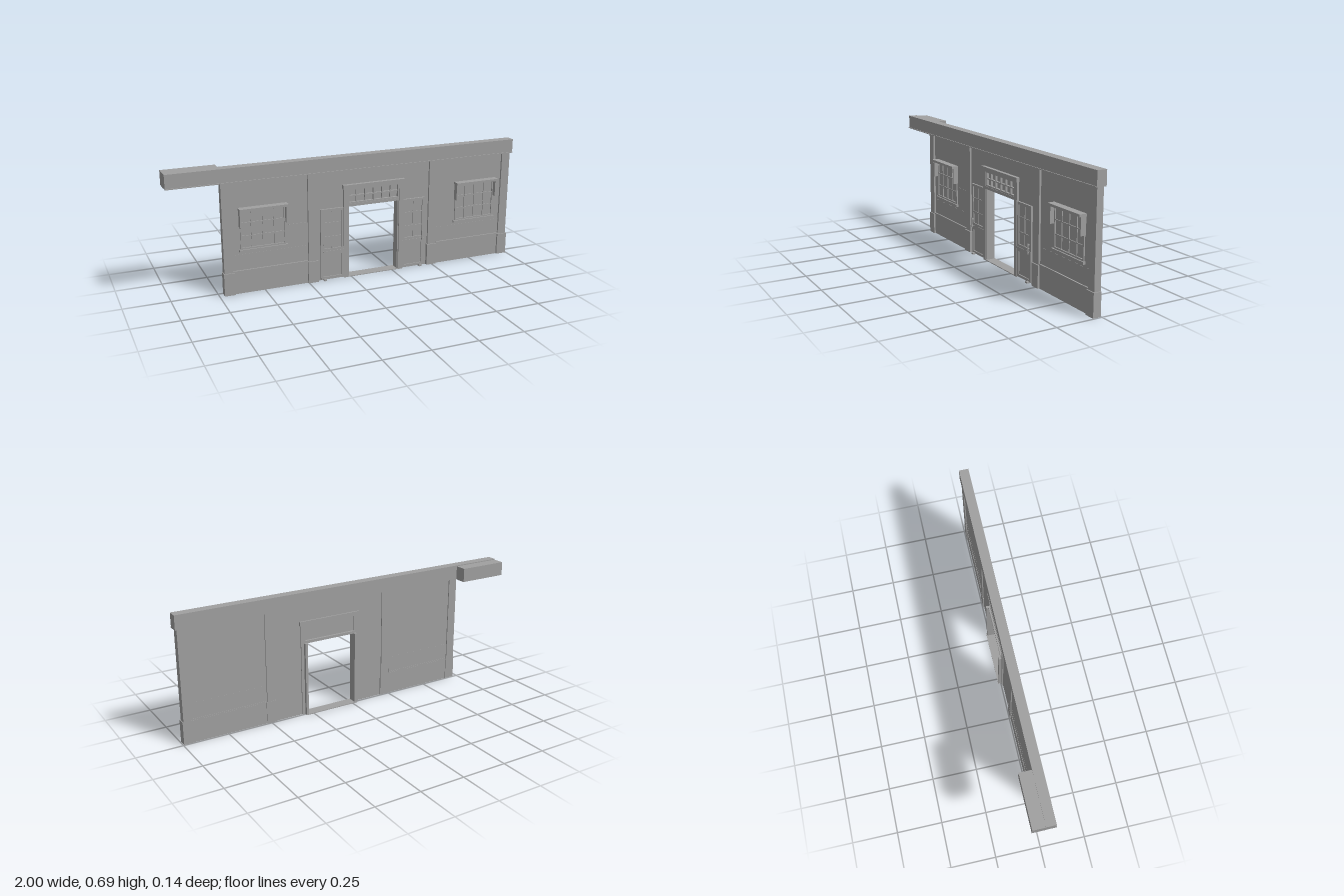
import * as THREE from 'three';

const grey = new THREE.MeshStandardMaterial({ color: 0xa0a0a0 });
grey.name = 'plain grey';

// box given by its limits on each axis
function block(parent, name, x0, x1, y0, y1, z0, z1) {
  const mesh = new THREE.Mesh(new THREE.BoxGeometry(x1 - x0, y1 - y0, z1 - z0), grey);
  mesh.position.set((x0 + x1) / 2, (y0 + y1) / 2, (z0 + z1) / 2);
  mesh.name = name;
  parent.add(mesh);
  return mesh;
}

function part(parent, name) {
  const g = new THREE.Group();
  g.name = name;
  parent.add(g);
  return g;
}

// rectangular frame divided into panes by thin bars
function lattice(parent, x0, x1, y0, y1, z0, z1, cols, rows, edge, bar) {
  block(parent, 'frameLeft', x0, x0 + edge, y0, y1, z0, z1);
  block(parent, 'frameRight', x1 - edge, x1, y0, y1, z0, z1);
  block(parent, 'frameBottom', x0 + edge, x1 - edge, y0, y0 + edge, z0, z1);
  block(parent, 'frameTop', x0 + edge, x1 - edge, y1 - edge, y1, z0, z1);
  const zb = z1 - 0.002;
  for (let i = 1; i < cols; i++) {
    const x = x0 + (x1 - x0) * i / cols;
    block(parent, 'uprightBar', x - bar / 2, x + bar / 2, y0 + edge, y1 - edge, z0, zb);
  }
  for (let j = 1; j < rows; j++) {
    const y = y0 + (y1 - y0) * j / rows;
    block(parent, 'crossBar', x0 + edge, x1 - edge, y - bar / 2, y + bar / 2, z0, zb - 0.0005);
  }
}

function addWindow(parent, cx) {
  const g = part(parent, 'window');
  lattice(g, cx - 0.125, cx + 0.125, 0.245, 0.462, 0.029, 0.037, 4, 3, 0.009, 0.006);
  block(g, 'sill', cx - 0.133, cx + 0.133, 0.232, 0.245, 0.029, 0.044);
  block(g, 'canopy', cx - 0.133, cx + 0.133, 0.462, 0.475, 0.029, 0.07);
  for (const s of [-1, 1]) {
    const x = cx + s * 0.126;
    block(g, 'canopyBracket', x - 0.004, x + 0.004, 0.37, 0.462, 0.029, 0.06);
  }
}

// open door leaf lying against the wall; side is the direction of its free edge
function addLeaf(parent, x0, x1, side) {
  const g = part(parent, 'doorLeaf');
  block(g, 'leafBack', x0, x1, 0.006, 0.41, 0.029, 0.034);
  lattice(g, x0, x1, 0.17, 0.41, 0.034, 0.040, 2, 3, 0.014, 0.006);
  lattice(g, x0, x1, 0.006, 0.16, 0.034, 0.040, 1, 1, 0.014, 0.006);
  block(g, 'lockRail', x0, x1, 0.16, 0.17, 0.034, 0.042);
  const hx = side > 0 ? x1 - 0.014 : x0 + 0.014;
  block(g, 'handle', hx - 0.003, hx + 0.003, 0.158, 0.215, 0.047, 0.053);
  for (const y of [0.166, 0.207]) block(g, 'handleMount', hx - 0.002, hx + 0.002, y - 0.003, y + 0.003, 0.038, 0.048);
  const bx = hx - side * 0.008;
  block(g, 'floorBolt', bx - 0.008, bx + 0.008, 0, 0.01, 0.036, 0.053);
}

export function createModel() {
  const model = new THREE.Group();
  model.name = 'buildingFront';

  // wall around the door opening, with a thicker plinth
  const wall = part(model, 'wall');
  block(wall, 'wallLeft', -0.7, -0.03, 0, 0.62, 0.010, 0.030);
  block(wall, 'wallRight', 0.295, 0.97, 0, 0.62, 0.010, 0.030);
  block(wall, 'wallOverDoor', -0.03, 0.295, 0.51, 0.62, 0.010, 0.030);
  for (const [a, b] of [[-0.67, -0.255], [0.525, 0.94]]) {
    block(wall, 'plinth', a, b, 0, 0.122, 0.007, 0.037);
    block(wall, 'plinthLedge', a, b, 0.122, 0.13, 0.008, 0.039);
    block(wall, 'wainscot', a, b, 0.13, 0.218, 0.0095, 0.031);
  }
  block(wall, 'plank', -0.36, -0.255, 0.285, 0.35, 0.029, 0.032);

  // posts with wider feet
  const posts = part(model, 'posts');
  for (const [a, b, grow] of [[-0.72, -0.67, 0.004], [-0.25, -0.202, 0.005], [0.472, 0.52, 0.005], [0.94, 0.99, 0.005]]) {
    block(posts, 'post', a, b, 0, 0.62, 0.004, 0.041);
    block(posts, 'postFoot', a - grow, b + grow, 0, 0.124, 0.0035, 0.047);
  }

  // top beam and the short beam behind its end
  const beams = part(model, 'beams');
  block(beams, 'topBeam', -1, 1, 0.617, 0.695, -0.003, 0.05);
  block(beams, 'beamLip', -1, 1, 0.617, 0.622, 0.049, 0.055);
  block(beams, 'rearBeam', -1, -0.715, 0.612, 0.69, -0.07, -0.003);

  // door surround
  const door = part(model, 'doorway');
  for (const [a, b, c, d] of [[-0.045, -0.02, -0.028, -0.014], [0.286, 0.311, 0.28, 0.294]]) {
    block(door, 'jamb', a, b, 0, 0.512, 0.004, 0.043);
    block(door, 'innerJamb', c, d, 0, 0.412, -0.012, 0.036);
  }
  block(door, 'threshold', -0.03, 0.295, 0, 0.004, -0.016, 0.042);
  block(door, 'lintel', -0.05, 0.317, 0.511, 0.534, 0.002, 0.05);
  block(door, 'transomRail', -0.02, 0.286, 0.41, 0.425, 0.0, 0.042);
  block(door, 'transomPanel', -0.02, 0.286, 0.425, 0.511, 0.012, 0.026);
  lattice(door, -0.02, 0.286, 0.425, 0.511, 0.026, 0.040, 6, 2, 0.008, 0.006);

  // open leaves and windows
  addLeaf(model, -0.18, -0.046, -1);
  addLeaf(model, 0.312, 0.446, 1);
  addWindow(model, -0.5);
  addWindow(model, 0.77);

  return model;
}
